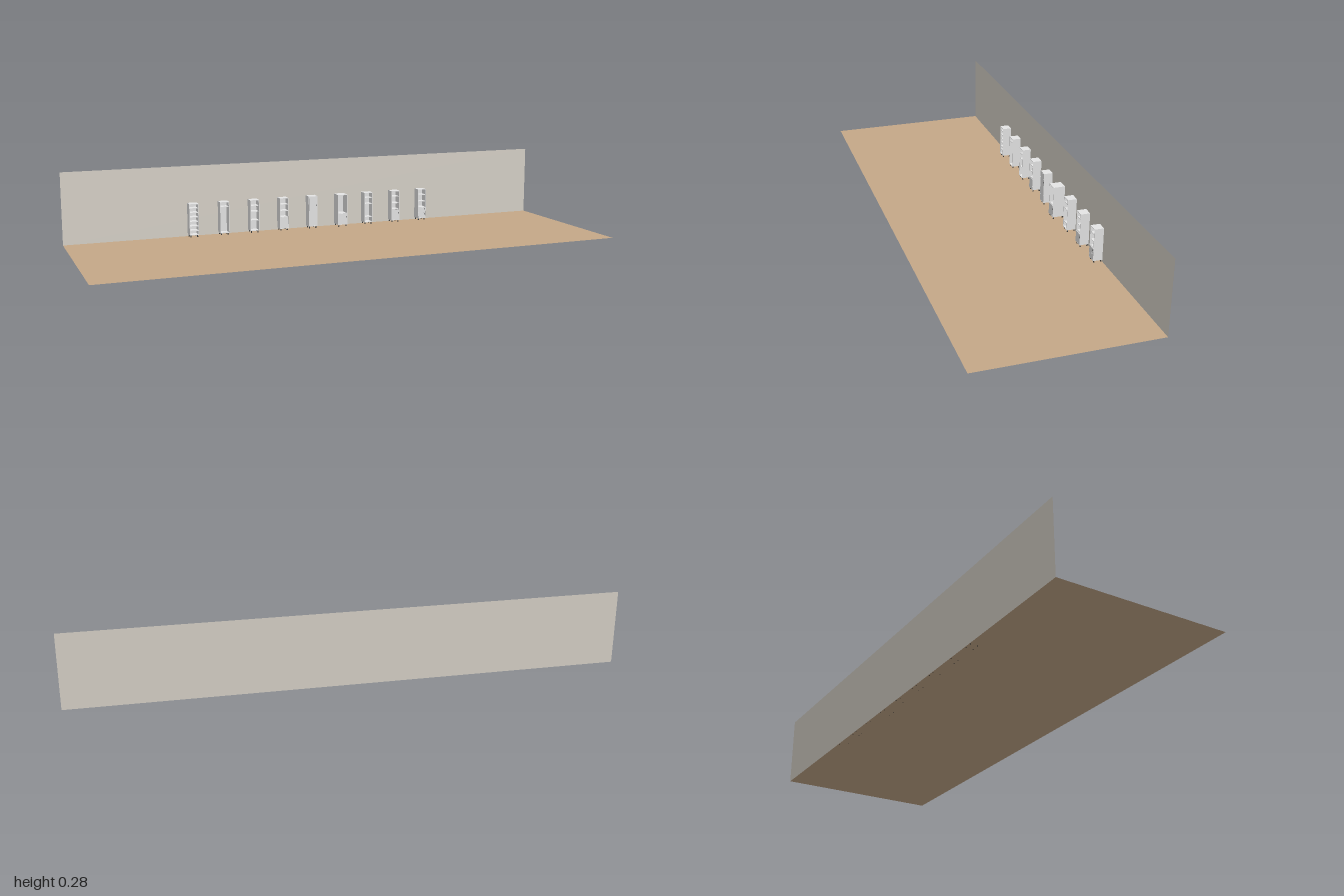
import * as THREE from 'three';

const mat = (name, color, side = THREE.FrontSide) => {
  const m = new THREE.MeshStandardMaterial({ color, side });
  m.name = name;
  return m;
};

export function createModel() {
  const oak = mat('oak floor', 0xc4a888, THREE.DoubleSide);
  const plaster = mat('wall plaster', 0xd6d1c7, THREE.DoubleSide);
  const white = mat('cabinet white', 0xe4e4e4);
  const dark = mat('dark metal', 0x3a3a3a);

  const root = new THREE.Group();
  root.name = 'cabinetDisplay';
  const add = (parent, name, geo, material, x, y, z) => {
    const mesh = new THREE.Mesh(geo, material);
    mesh.name = name;
    mesh.position.set(x, y, z);
    parent.add(mesh);
    return mesh;
  };
  const box = (parent, name, w, h, d, x, y, z, material = white) =>
    add(parent, name, new THREE.BoxGeometry(w, h, d), material, x, y, z);

  // Floor and rear wall are single sheets
  add(root, 'floor', new THREE.PlaneGeometry(2, 0.65), oak, 0, 0, 0).rotation.x = -Math.PI / 2;
  add(root, 'wall', new THREE.PlaneGeometry(2, 0.277), plaster, 0, 0.1385, -0.325);

  const back = -0.3245, bottom = 0.008, top = 0.132, t = 0.002;

  // Open-fronted tall cabinet; door gives the height of the closed lower part
  function cabinet({ x, w = 0.037, d = 0.0355, shelves = [], door = 0, drawers = 1 }) {
    const g = new THREE.Group();
    g.name = 'cabinet';
    g.position.set(x, 0, back);
    root.add(g);
    const h = top - bottom, mid = (top + bottom) / 2, inner = w - 2 * t;
    for (const s of [-1, 1]) box(g, 'sidePanel', t, h, d, s * (w - t) / 2, mid, d / 2);
    box(g, 'backPanel', inner, h, t / 2, 0, mid, t / 4);
    box(g, 'topPanel', inner, t, d, 0, top - t / 2, d / 2);
    box(g, 'bottomPanel', inner, t, d, 0, bottom + t / 2, d / 2);
    for (const y of shelves) box(g, 'shelf', inner, t, d - 0.003, 0, y, (d - 0.003) / 2);

    // Door or drawer fronts with small pulls
    if (door) {
      const step = (door - bottom - t) / drawers;
      for (let i = 0; i < drawers; i++) {
        const y = bottom + t + step * (i + 0.5);
        box(g, 'doorFront', inner - 0.0006, step - 0.0008, t, 0, y, d - t / 2);
        box(g, 'handle', 0.0012, 0.006, 0.001, w * 0.36, y + step * 0.2, d + 0.0002, dark);
      }
    }

    // Four flared feet
    for (const sx of [-1, 1]) for (const z of [0.004, d - 0.005])
      add(g, 'foot', new THREE.CylinderGeometry(0.0016, 0.0026, bottom, 10), dark,
        sx * (w / 2 - 0.005), bottom / 2, z);
  }

  const shelfRow = (n, from, to) =>
    Array.from({ length: n }, (_, i) => from + (to - from) * (i + 1) / (n + 1));

  // Nine variants in a row
  [
    { x: -0.505, shelves: shelfRow(6, bottom, top) },
    { x: -0.382, shelves: [0.112] },
    { x: -0.259, shelves: [0.05, 0.085, 0.108] },
    { x: -0.136, shelves: [0.055, 0.08, 0.106], door: 0.055 },
    { x: -0.013, shelves: [0.03, 0.07], door: top - t },
    { x: 0.113, w: 0.042, d: 0.046, shelves: [0.054], door: 0.054 },
    { x: 0.232, shelves: [0.03, 0.085, 0.11] },
    { x: 0.355, shelves: [0.055, 0.08, 0.108], door: 0.052 },
    { x: 0.478, shelves: [0.055, 0.08, 0.108], door: 0.055, drawers: 2 },
  ].forEach(cabinet);

  return root;
}
